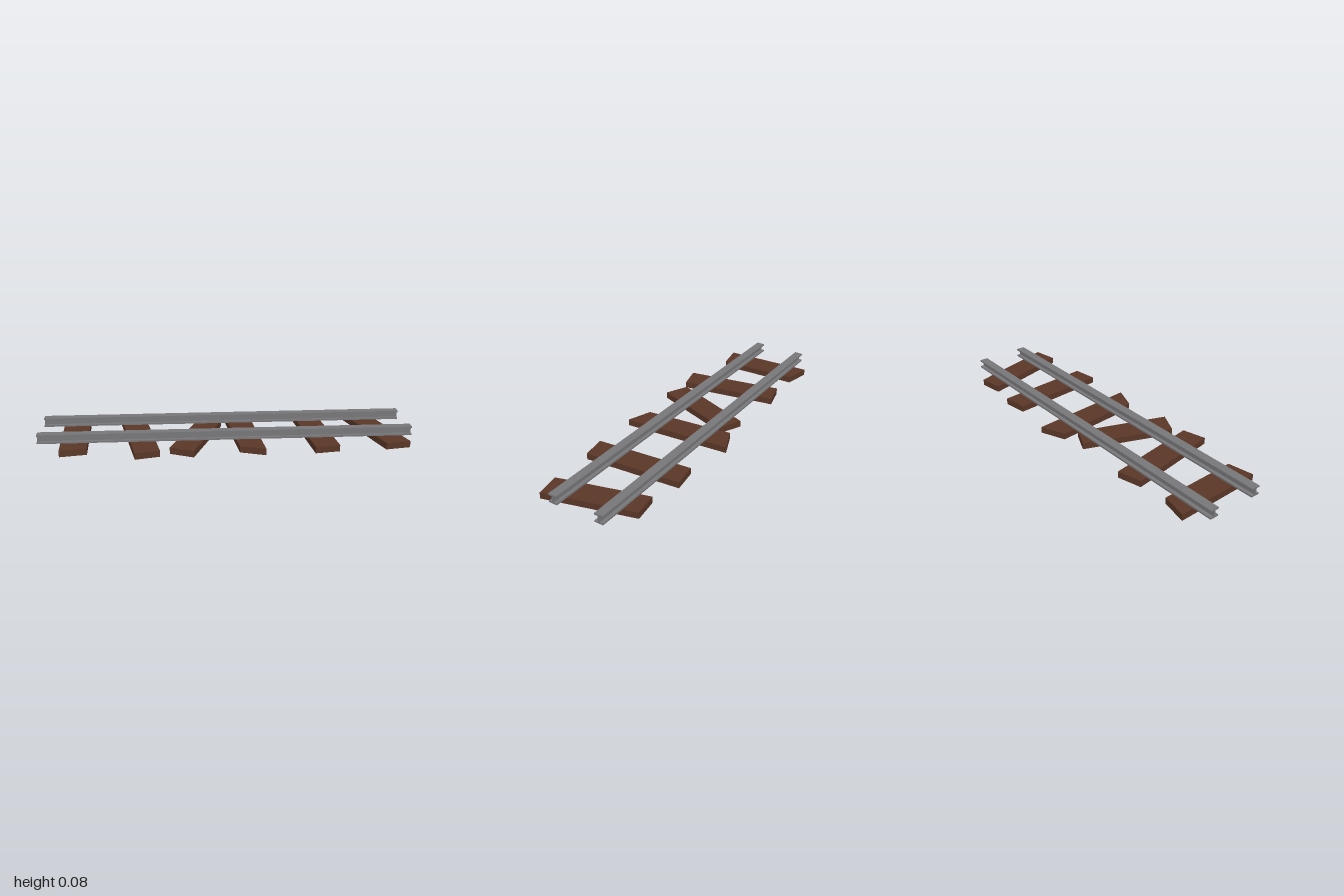
import * as THREE from 'three';

const SLEEPER_TOP = 0.035;
const RAIL_TOP = 0.084;

// Plan corners [x, z] of each crooked sleeper: back left, back right, front right, front left
const SLEEPERS = [
  [[-0.895, -0.254], [-0.751, -0.224], [-0.733, 0.217], [-0.873, 0.242]],
  [[-0.578, -0.226], [-0.444, -0.26], [-0.355, 0.27], [-0.483, 0.303]],
  [[-0.128, -0.236], [-0.011, -0.18], [-0.182, 0.292], [-0.305, 0.233]],
  [[0.013, -0.252], [0.148, -0.308], [0.193, 0.287], [0.06, 0.238]],
  [[0.408, -0.26], [0.543, -0.279], [0.584, 0.258], [0.452, 0.279]],
  [[0.706, -0.24], [0.84, -0.26], [0.968, 0.225], [0.834, 0.249]],
];

function outline(points) {
  return new THREE.Shape(points.map(([x, y]) => new THREE.Vector2(x, y)));
}

export function createModel() {
  const track = new THREE.Group();
  track.name = 'railwayTrack';
  const wood = new THREE.MeshStandardMaterial({ color: 0x5a3727 });
  const steel = new THREE.MeshStandardMaterial({ color: 0x77777a });

  // Wooden sleepers: plan outline extruded upwards
  SLEEPERS.forEach((corners, i) => {
    const geometry = new THREE.ExtrudeGeometry(
      outline(corners.map(([x, z]) => [x, -z])),
      { depth: SLEEPER_TOP, bevelEnabled: false });
    geometry.rotateX(-Math.PI / 2);
    const sleeper = new THREE.Mesh(geometry, wood);
    sleeper.name = `sleeper${i + 1}`;
    track.add(sleeper);
  });

  // Steel rails: mirrored I-section extruded along x
  const half = [
    [0.024, SLEEPER_TOP], [0.024, 0.044], [0.005, 0.044],
    [0.005, 0.075], [0.024, 0.075], [0.024, RAIL_TOP],
  ];
  const mirrored = half.map(([x, y]) => [-x, y]).reverse();
  const railGeometry = new THREE.ExtrudeGeometry(
    outline([...half, ...mirrored]), { depth: 2, bevelEnabled: false });
  railGeometry.translate(0, 0, -1).rotateY(Math.PI / 2);

  for (const [name, z] of [['frontRail', 0.112], ['backRail', -0.159]]) {
    const rail = new THREE.Mesh(railGeometry, steel);
    rail.name = name;
    rail.position.z = z;
    track.add(rail);
  }
  return track;
}
